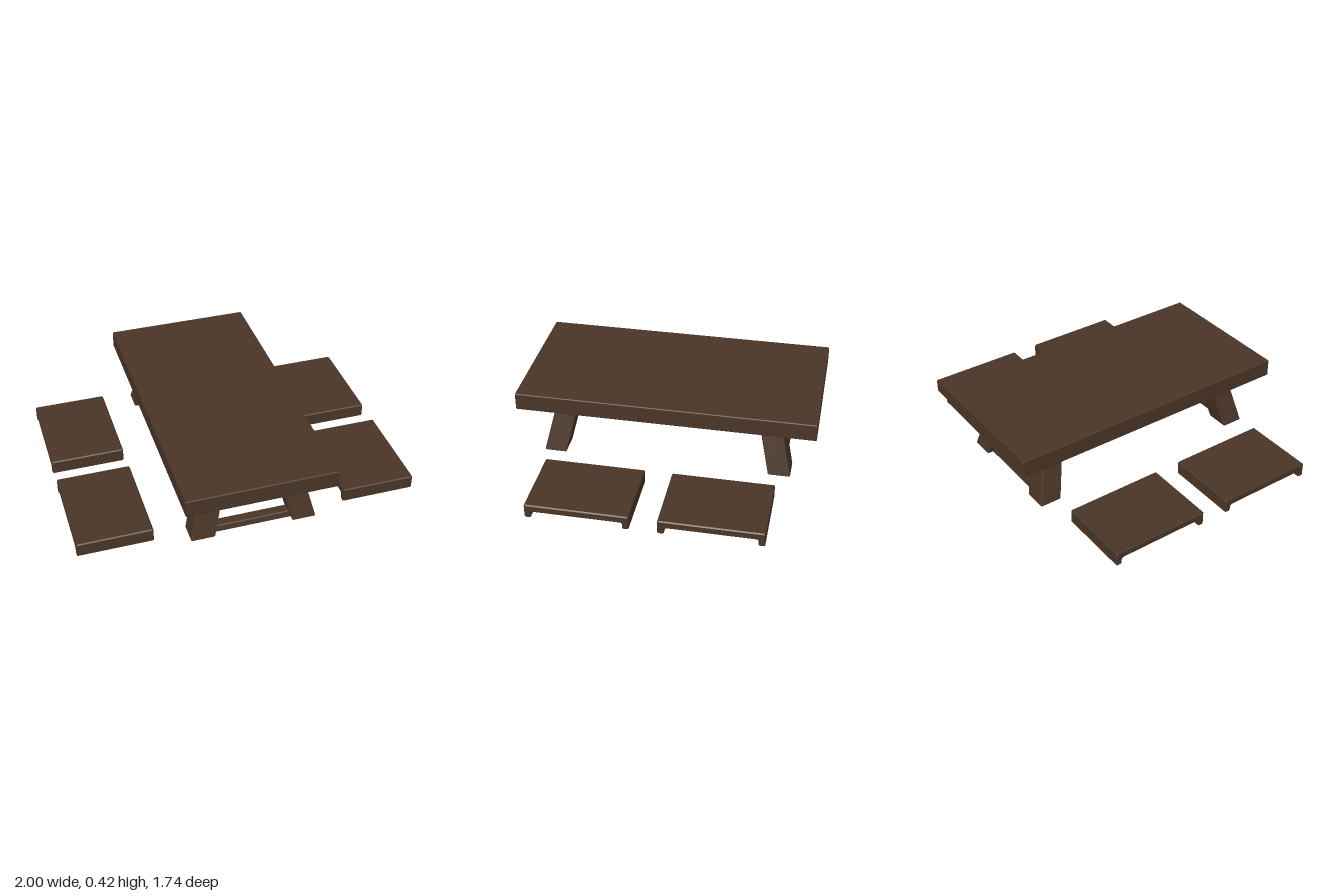
import * as THREE from 'three';
import { RoundedBoxGeometry } from 'three/addons/geometries/RoundedBoxGeometry.js';

const wood = new THREE.MeshStandardMaterial({ color: 0x4a3526 });

// Rounded beam from y0 to y1, leaning by kx and kz per unit of height
function beam(name, [w, d], [y0, y1], [x, z], kx = 0, kz = 0, radius = 0.007) {
  const h = y1 - y0;
  const geo = new RoundedBoxGeometry(w, h, d, 2, radius);
  geo.translate(0, y0 + h / 2, 0);
  const p = geo.attributes.position;
  for (let i = 0; i < p.count; i++) {
    const y = p.getY(i);
    p.setXYZ(i, p.getX(i) + x + kx * y, y, p.getZ(i) + z + kz * y);
  }
  // Slanted normals: n' = (nx, ny - kx*nx - kz*nz, nz)
  const n = geo.attributes.normal;
  const v = new THREE.Vector3();
  for (let i = 0; i < n.count; i++) {
    v.fromBufferAttribute(n, i);
    v.y -= kx * v.x + kz * v.z;
    v.normalize();
    n.setXYZ(i, v.x, v.y, v.z);
  }
  const mesh = new THREE.Mesh(geo, wood);
  mesh.name = name;
  return mesh;
}

// Low seat: a slab with a short lip down to the ground at each end
function seatGeometry() {
  const half = 0.292, top = 0.085, under = 0.04, lip = 0.036, r = 0.015, b = 0.006;
  const inner = half - lip;
  const s = new THREE.Shape();
  s.moveTo(-half, 0.006);
  s.lineTo(-half, top - 0.006);
  s.lineTo(-half + 0.006, top);
  s.lineTo(half - 0.006, top);
  s.lineTo(half, top - 0.006);
  s.lineTo(half, 0.006);
  s.lineTo(half - 0.006, 0);
  s.lineTo(inner + 0.006, 0);
  s.lineTo(inner, 0.006);
  s.lineTo(inner, under - r);
  s.quadraticCurveTo(inner, under, inner - r, under);
  s.lineTo(-inner + r, under);
  s.quadraticCurveTo(-inner, under, -inner, under - r);
  s.lineTo(-inner, 0.006);
  s.lineTo(-inner - 0.006, 0);
  s.lineTo(-half + 0.006, 0);
  s.closePath();
  const width = 0.435;
  const geo = new THREE.ExtrudeGeometry(s, {
    depth: width - 2 * b, bevelEnabled: true, bevelSize: b, bevelThickness: b,
    bevelOffset: -b, bevelSegments: 1, curveSegments: 4,
  });
  geo.translate(0, 0, -width / 2 + b);
  geo.rotateY(Math.PI / 2);
  return geo;
}

export function createModel() {
  const model = new THREE.Group();
  model.name = 'picnicTable';

  model.add(beam('tabletop', [0.868, 1.735], [0.315, 0.42], [0, 0]));

  // Two trestles, each with a pair of splayed legs and two crossbars
  const leanX = 0.25, leanZ = 0.235;
  for (const sz of [1, -1]) {
    const trestle = new THREE.Group();
    trestle.name = sz > 0 ? 'frontTrestle' : 'backTrestle';
    for (const sx of [1, -1]) {
      trestle.add(beam(sx > 0 ? 'leftLeg' : 'rightLeg', [0.14, 0.13], [0, 0.325],
        [sx * 0.3, sz * 0.667], -sx * leanX, -sz * leanZ));
    }
    trestle.add(beam('lowerCrossbar', [0.54, 0.06], [0, 0.04], [0, sz * 0.667], 0, -sz * leanZ));
    trestle.add(beam('upperCrossbar', [0.4, 0.07], [0.2, 0.28], [0, sz * 0.667], 0, -sz * leanZ));
    model.add(trestle);
  }

  // Four separate low seats, two on each side
  const seat = seatGeometry();
  for (const sx of [1, -1]) {
    for (const sz of [1, -1]) {
      const mesh = new THREE.Mesh(seat, wood);
      mesh.name = (sz > 0 ? 'front' : 'back') + (sx > 0 ? 'Left' : 'Right') + 'Seat';
      mesh.position.set(sx * 0.7825, 0, sz * 0.371);
      model.add(mesh);
    }
  }
  return model;
}
